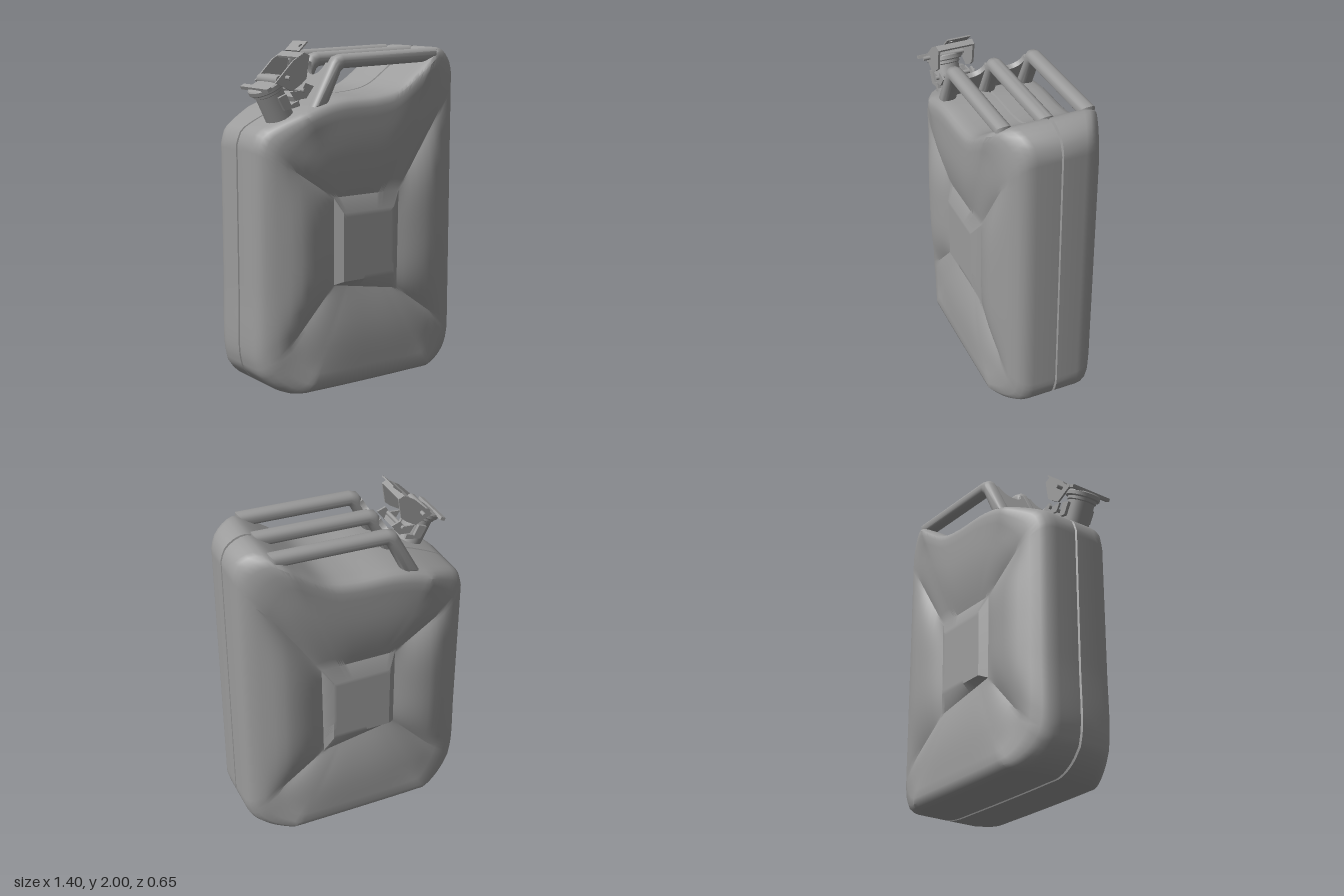
import * as THREE from 'three';
import { toCreasedNormals } from 'three/addons/utils/BufferGeometryUtils.js';

const material = new THREE.MeshStandardMaterial({ color: 0x9c9c9c });
const thin = new THREE.MeshStandardMaterial({ color: 0x9c9c9c, side: THREE.DoubleSide });
const V2 = (p) => new THREE.Vector2(p[0], p[1]);

function add(parent, name, geometry, mat = material) {
  const mesh = new THREE.Mesh(geometry, mat);
  mesh.name = name;
  parent.add(mesh);
  return mesh;
}

// Outline of the can, clockwise from the front: top, +x side, bottom, -x side
const SIDES = [
  [[-0.7, 1.43], [-0.67, 1.505], [-0.6, 1.55], [-0.35, 1.65], [-0.2, 1.68], [0.05, 1.69], [0.2, 1.72],
    [0.35, 1.815], [0.46, 1.895], [0.54, 1.94], [0.61, 1.93], [0.675, 1.88], [0.7, 1.81]],
  [[0.7, 1.81], [0.7, 1.4], [0.7, 0.6], [0.7, 0.19]],
  [[0.7, 0.19], [0.67, 0.1], [0.6, 0.04], [0.48, 0.006], [0.3, 0], [-0.4, 0], [-0.52, 0.006], [-0.62, 0.06], [-0.68, 0.13]],
  [[-0.68, 0.13], [-0.7, 0.22], [-0.7, 0.6], [-0.7, 1.2], [-0.7, 1.43]],
];
// Corners of the valley around the centre panel, and of the panel itself
const VALLEY = [[-0.23, 1.12], [0.235, 1.12], [0.225, 0.53], [-0.23, 0.61]];
const PANEL = [[-0.185, 1.03], [0.175, 1.03], [0.175, 0.63], [-0.185, 0.63]];
const VALLEY_Z = 0.272, PANEL_Z = 0.308;

// Rows from the seam to the valley: [inset, z] at the narrow sides, then at top and bottom
const ROWS = [
  [0.025, 0, 0.02, 0], [0.025, 0.003, 0.02, 0.003], [0, 0.008, 0, 0.008],
  [0, 0.14, 0, 0.23], [0.008, 0.17, 0.008, 0.27], [0.035, 0.203, 0.025, 0.3], [0.09, 0.233, 0.055, 0.317],
  [0.2, 0.265, 0.11, 0.325], [0.34, 0.299, 0.2, 0.325], [0.46, 0.32, 0.32, 0.325], [0.55, 0.325, 0.44, 0.324],
  [0.65, 0.323, 0.56, 0.32], [0.75, 0.315, 0.68, 0.312], [0.84, 0.303, 0.8, 0.3], [0.92, 0.289, 0.91, 0.286],
  [1, VALLEY_Z, 1, VALLEY_Z],
];

function shellGeometry(sign) {
  const N = 44, U = N * 4, rows = ROWS.length + 3;
  const outline = [], valley = [], panel = [], center = new THREE.Vector2(-0.005, 0.83);
  SIDES.forEach((pts, k) => {
    const curve = new THREE.CatmullRomCurve3(pts.map((p) => new THREE.Vector3(p[0], p[1], 0)));
    for (let i = 0; i < N; i++) {
      const p = curve.getPointAt(i / N);
      outline.push(new THREE.Vector2(p.x, p.y));
      valley.push(V2(VALLEY[k]).lerp(V2(VALLEY[(k + 1) % 4]), i / N));
      panel.push(V2(PANEL[k]).lerp(V2(PANEL[(k + 1) % 4]), i / N));
    }
  });
  const pos = [], index = [];
  for (const [sSide, zSide, sEnd, zEnd] of ROWS) {
    for (let u = 0; u < U; u++) {
      const w = THREE.MathUtils.clamp((0.7 - Math.abs(outline[u].x)) / 0.25, 0, 1);
      const s = THREE.MathUtils.lerp(sSide, sEnd, w);
      const z = THREE.MathUtils.lerp(zSide, zEnd, w);
      const p = outline[u].clone().lerp(valley[u], s);
      // the pillowed faces sink to valley depth along the diagonals
      const groove = Math.abs(2 * (u % N) / N - 1) ** 3.5 * Math.max(0, z - VALLEY_Z) * THREE.MathUtils.smoothstep(s, 0.1, 0.3);
      pos.push(p.x, p.y, sign * (z - groove));
    }
  }
  // flat centre panel
  for (const t of [0, 0.12, 1]) {
    for (const p of panel) {
      const q = p.clone().lerp(center, t);
      pos.push(q.x, q.y, sign * PANEL_Z);
    }
  }
  const tri = (a, b, c) => (sign > 0 ? index.push(a, b, c) : index.push(a, c, b));
  for (let r = 0; r < rows - 1; r++) {
    for (let u = 0; u < U; u++) {
      const v = (u + 1) % U, a = r * U + u, b = r * U + v, c = a + U, d = b + U;
      tri(a, c, b);
      if (r < rows - 2) tri(b, c, d);
    }
  }
  const geo = new THREE.BufferGeometry();
  geo.setAttribute('position', new THREE.Float32BufferAttribute(pos, 3));
  geo.setIndex(index);
  return toCreasedNormals(geo, 0.6);
}

// Flat plate drawn in x and y, from z to z + depth
function plate(points, z, depth) {
  const geo = new THREE.ExtrudeGeometry(new THREE.Shape(points.map(V2)), { depth, bevelEnabled: false });
  return geo.translate(0, 0, z);
}

function pin(x, y, z0, z1, r) {
  return new THREE.CylinderGeometry(r, r, z1 - z0, 14).rotateX(Math.PI / 2).translate(x, y, (z0 + z1) / 2);
}

function createHandles() {
  const group = new THREE.Group();
  group.name = 'handles';
  const side = new THREE.Shape([[-0.375, 1.63], [-0.235, 1.885], [-0.215, 1.912], [-0.17, 1.925], [0.52, 1.942],
    [0.52, 1.862], [-0.155, 1.845], [-0.175, 1.83], [-0.275, 1.63]].map(V2));
  for (const z of [-0.242, 0, 0.242]) {
    const width = 0.088;
    const geo = new THREE.ExtrudeGeometry(side, {
      depth: width - 0.074, bevelThickness: 0.037, bevelSize: 0.037, bevelOffset: -0.037, bevelSegments: 6,
    });
    add(group, 'handleBar', toCreasedNormals(geo.translate(0, 0, z - width / 2 + 0.037), 0.7));
  }
  // sloping plate that joins the three bars, with round slot ends
  const web = new THREE.Shape();
  web.moveTo(-0.245, 0);
  web.lineTo(0.245, 0);
  web.lineTo(0.245, 0.285);
  web.lineTo(0.2, 0.285);
  web.absarc(0.12, 0.285, 0.08, 0, Math.PI, true);
  web.lineTo(-0.04, 0.285);
  web.absarc(-0.12, 0.285, 0.08, 0, Math.PI, true);
  web.lineTo(-0.245, 0.285);
  const geo = new THREE.ExtrudeGeometry(web, { depth: 0.03, bevelEnabled: false, curveSegments: 16 });
  const up = new THREE.Vector3(0.481, 0.877, 0).normalize();
  const out = new THREE.Vector3(-up.y, up.x, 0);
  const m = new THREE.Matrix4().makeBasis(new THREE.Vector3(0, 0, 1), up, out);
  geo.translate(0, 0, -0.032).applyMatrix4(m).translate(-0.375, 1.63, 0);
  add(group, 'handleWeb', toCreasedNormals(geo, 0.6));
  return group;
}

function createClosure() {
  const group = new THREE.Group();
  group.name = 'closure';
  const mid = 0.15;
  // tilted neck and lid
  const spout = new THREE.Group();
  spout.name = 'spout';
  spout.position.set(-0.51, 1.58, mid);
  spout.rotation.z = 0.46;
  group.add(spout);
  const profile = [[0.08, -0.04], [0.08, 0.16], [0.088, 0.165], [0.088, 0.185], [0.07, 0.19]];
  add(spout, 'neck', toCreasedNormals(new THREE.LatheGeometry(profile.map(V2), 32), 0.6), thin);
  const lid = [[0, 0.182], [0.098, 0.182], [0.104, 0.188], [0.104, 0.21], [0.098, 0.217], [0.05, 0.222], [0, 0.222]];
  add(spout, 'lid', toCreasedNormals(new THREE.LatheGeometry(lid.map(V2), 32), 0.6));
  add(spout, 'lidRim', new THREE.BoxGeometry(0.03, 0.02, 0.28).translate(-0.06, 0.222, 0));
  // paired side plates, hinge ears and latches
  for (const s of [-1, 1]) {
    const z = mid + s * 0.105 - 0.006;
    add(group, 'leverSide', plate([[-0.605, 1.785], [-0.49, 1.9], [-0.42, 1.94], [-0.385, 1.925], [-0.405, 1.8], [-0.44, 1.77], [-0.5, 1.735]],
      z, 0.012));
    add(group, 'hingeEar', plate([[-0.5, 1.73], [-0.43, 1.735], [-0.405, 1.775], [-0.35, 1.755], [-0.4, 1.69], [-0.47, 1.685]],
      mid + s * 0.095 - 0.006, 0.012));
    add(group, 'latch', plate([[-0.58, 1.7], [-0.53, 1.72], [-0.5, 1.66], [-0.45, 1.68], [-0.44, 1.65], [-0.54, 1.63]],
      mid + s * 0.09 - 0.01, 0.02));
  }
  // bridge between the lever sides, with a raised thumb tab
  add(group, 'leverBridge', plate([[-0.46, 1.918], [-0.42, 1.942], [-0.385, 1.927], [-0.39, 1.915], [-0.42, 1.93], [-0.455, 1.908]],
    mid - 0.11, 0.22));
  const tab = new THREE.Shape([[-0.07, 0], [0.07, 0], [0.07, 0.075], [-0.07, 0.075]].map(V2));
  tab.holes.push(new THREE.Path().absarc(0.04, 0.04, 0.012, 0, Math.PI * 2, true));
  const tabGeo = new THREE.ExtrudeGeometry(tab, { depth: 0.008, bevelEnabled: false });
  tabGeo.rotateY(-Math.PI / 2).rotateZ(-0.82).translate(-0.417, 1.943, mid - 0.008);
  add(group, 'thumbTab', tabGeo);
  add(group, 'hingePin', pin(-0.535, 1.81, 0, 0.3, 0.012));
  add(group, 'latchPin', pin(-0.42, 1.735, 0.03, 0.27, 0.012));
  add(group, 'camRoll', pin(-0.57, 1.795, 0.05, 0.25, 0.028));
  add(group, 'hingeBase', new THREE.BoxGeometry(0.07, 0.03, 0.17).rotateZ(0.44).translate(-0.43, 1.7, mid));
  return group;
}

export function createModel() {
  const model = new THREE.Group();
  model.name = 'fuelCan';
  add(model, 'frontShell', shellGeometry(1));
  add(model, 'backShell', shellGeometry(-1));
  model.add(createHandles(), createClosure());
  return model;
}
